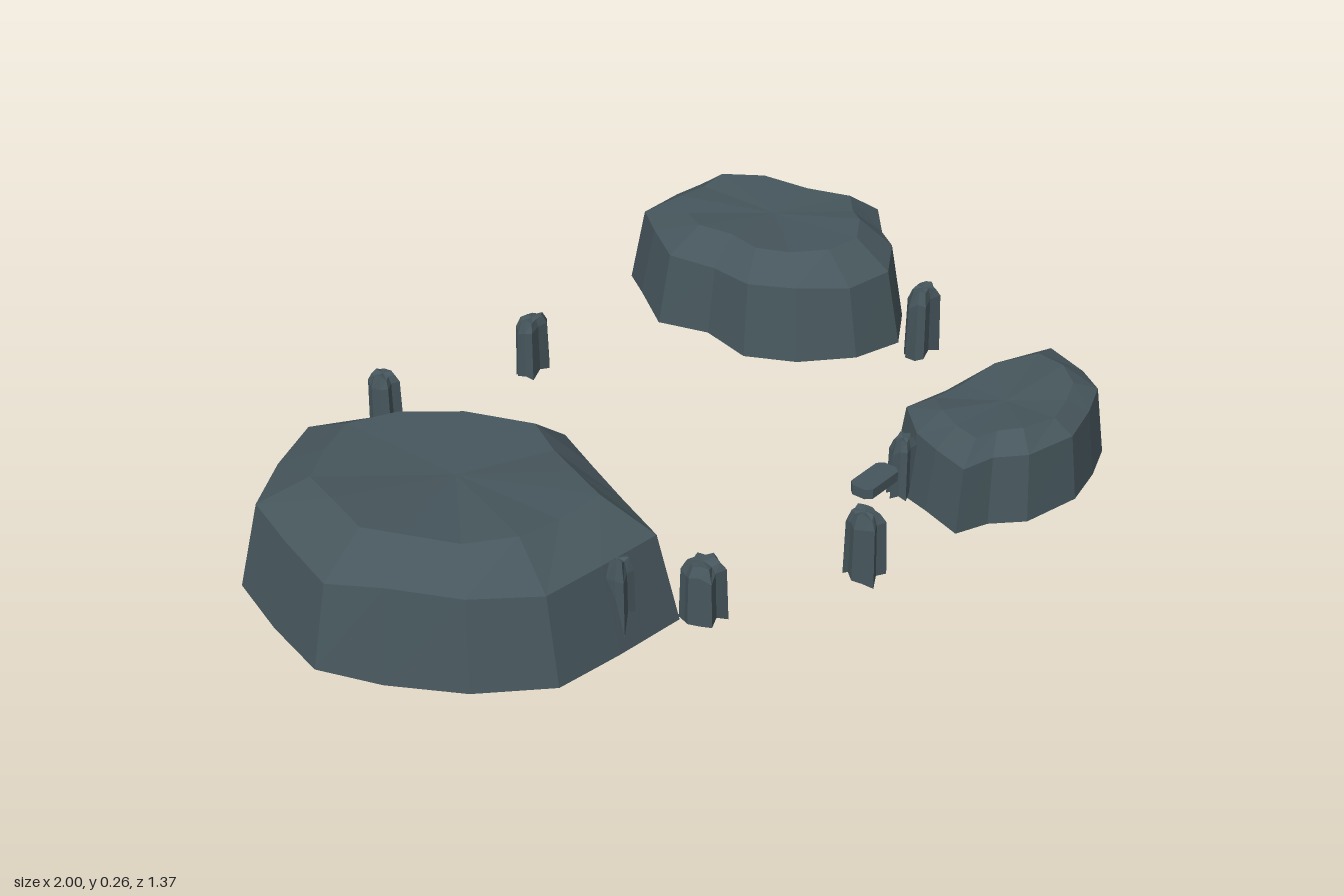
import * as THREE from 'three';

const stone = new THREE.MeshStandardMaterial({ color: 0x46565c, flatShading: true, side: THREE.DoubleSide });

// Small seeded generator for the uneven stone
function seeded(seed) {
  let s = seed;
  return () => (s = (s * 16807) % 2147483647) / 2147483647;
}

// Open-bottomed shell: an outline repeated at [scale, height, wobble] rings, closed by a fan on top
function shell(name, outline, centre, rings, topY, seed) {
  const rand = seeded(seed);
  const [cx, cz] = centre;
  const n = outline.length;
  const pos = [];
  const index = [];
  for (const [scale, y, wobble] of rings) {
    for (const [x, z] of outline) {
      pos.push(cx + (x - cx) * scale, y + (rand() - 0.5) * wobble, cz + (z - cz) * scale);
    }
  }
  pos.push(cx, topY, cz);
  const last = (rings.length - 1) * n;
  for (let i = 0; i < n; i++) {
    const j = (i + 1) % n;
    for (let r = 0; r < last; r += n) {
      index.push(r + j, r + i, r + n + i, r + j, r + n + i, r + n + j);
    }
    index.push(last + n, last + j, last + i);
  }
  const geometry = new THREE.BufferGeometry();
  geometry.setAttribute('position', new THREE.Float32BufferAttribute(pos, 3));
  geometry.setIndex(index);
  geometry.computeVertexNormals();
  const mesh = new THREE.Mesh(geometry, stone);
  mesh.name = name;
  return mesh;
}

// Broad boulder with steep sides, a bevelled shoulder and a flat top
function boulder(name, outline, centre, shoulder, top, seed) {
  const rings = [[1, 0.01, 0.02], [0.9, shoulder, 0.015], [0.65, top, 0.012]];
  return shell(name, outline, centre, rings, top - 0.008, seed);
}

// Small fluted upright stone
function pillar(x, z, width, depth, height, seed) {
  const rand = seeded(seed * 7919);
  const outline = [];
  const sides = 12;
  for (let i = 0; i < sides; i++) {
    const a = (i / sides) * Math.PI * 2;
    const r = (i % 2 ? 0.74 : 1) * (0.85 + rand() * 0.2);
    outline.push([x + Math.cos(a) * r * width / 2, z + Math.sin(a) * r * depth / 2]);
  }
  const rings = [[1, 0.015, 0.02], [0.92, height * 0.82, 0.012], [0.65, height - 0.006, 0.01]];
  return shell('pillarStone', outline, [x, z], rings, height - 0.005, seed * 104729);
}

export function createModel() {
  const group = new THREE.Group();
  group.name = 'stoneCircle';

  // Boulders
  group.add(boulder('largeBoulder', [
    [-0.6, -0.57], [-0.46, -0.49], [-0.34, -0.32], [-0.25, -0.11], [-0.32, 0.03], [-0.38, 0.17],
    [-0.44, 0.315], [-0.6, 0.3], [-0.75, 0.28], [-0.865, 0.16], [-0.945, 0.015], [-1, -0.11],
    [-0.945, -0.28], [-0.89, -0.43], [-0.75, -0.51],
  ], [-0.6, -0.11], 0.195, 0.258, 11));
  group.add(boulder('lowBoulder', [
    [0.27, 0.315], [0.405, 0.335], [0.565, 0.35], [0.725, 0.42], [0.685, 0.535], [0.62, 0.615],
    [0.525, 0.65], [0.405, 0.68], [0.27, 0.65], [0.215, 0.59], [0.135, 0.565], [0.165, 0.47],
    [0.205, 0.39],
  ], [0.405, 0.497], 0.155, 0.188, 23));
  group.add(boulder('backBoulder', [
    [0.6, -0.685], [0.727, -0.68], [0.835, -0.68], [0.92, -0.55], [0.95, -0.375], [1, -0.22],
    [0.9, -0.135], [0.845, -0.065], [0.73, 0.005], [0.6, -0.02], [0.51, -0.12], [0.455, -0.23],
    [0.475, -0.35], [0.455, -0.48], [0.525, -0.59],
  ], [0.727, -0.353], 0.175, 0.23, 37));

  // Upright stones: x, z, width, depth, height (the last five stand under the boulders)
  [
    [-0.295, -0.62, 0.08, 0.08, 0.16],
    [0.095, -0.545, 0.12, 0.06, 0.155],
    [0.715, 0.075, 0.12, 0.07, 0.18],
    [-0.405, 0.345, 0.11, 0.1, 0.145],
    [-0.56, 0.265, 0.08, 0.07, 0.2],
    [-0.095, 0.5, 0.085, 0.095, 0.165],
    [0.2, 0.385, 0.08, 0.06, 0.15],
    [-0.64, 0.17, 0.07, 0.07, 0.16],
    [-0.765, -0.03, 0.1, 0.09, 0.16],
    [-0.61, -0.35, 0.08, 0.08, 0.14],
    [0.725, -0.17, 0.08, 0.08, 0.16],
    [0.54, -0.45, 0.09, 0.08, 0.15],
  ].forEach((p, i) => group.add(pillar(...p, i + 1)));

  // Thin slab with clipped corners
  const clipped = new THREE.Shape([
    [-0.055, -0.015], [-0.043, -0.027], [0.043, -0.027], [0.055, -0.015],
    [0.055, 0.015], [0.043, 0.027], [-0.043, 0.027], [-0.055, 0.015],
  ].map(([x, y]) => new THREE.Vector2(x, y)));
  const slabGeometry = new THREE.ExtrudeGeometry(clipped, { depth: 0.022, bevelEnabled: false });
  slabGeometry.rotateX(-Math.PI / 2);
  const slab = new THREE.Mesh(slabGeometry, stone);
  slab.position.set(0.065, 0.105, 0.41);
  slab.name = 'slab';
  group.add(slab);

  return group;
}
